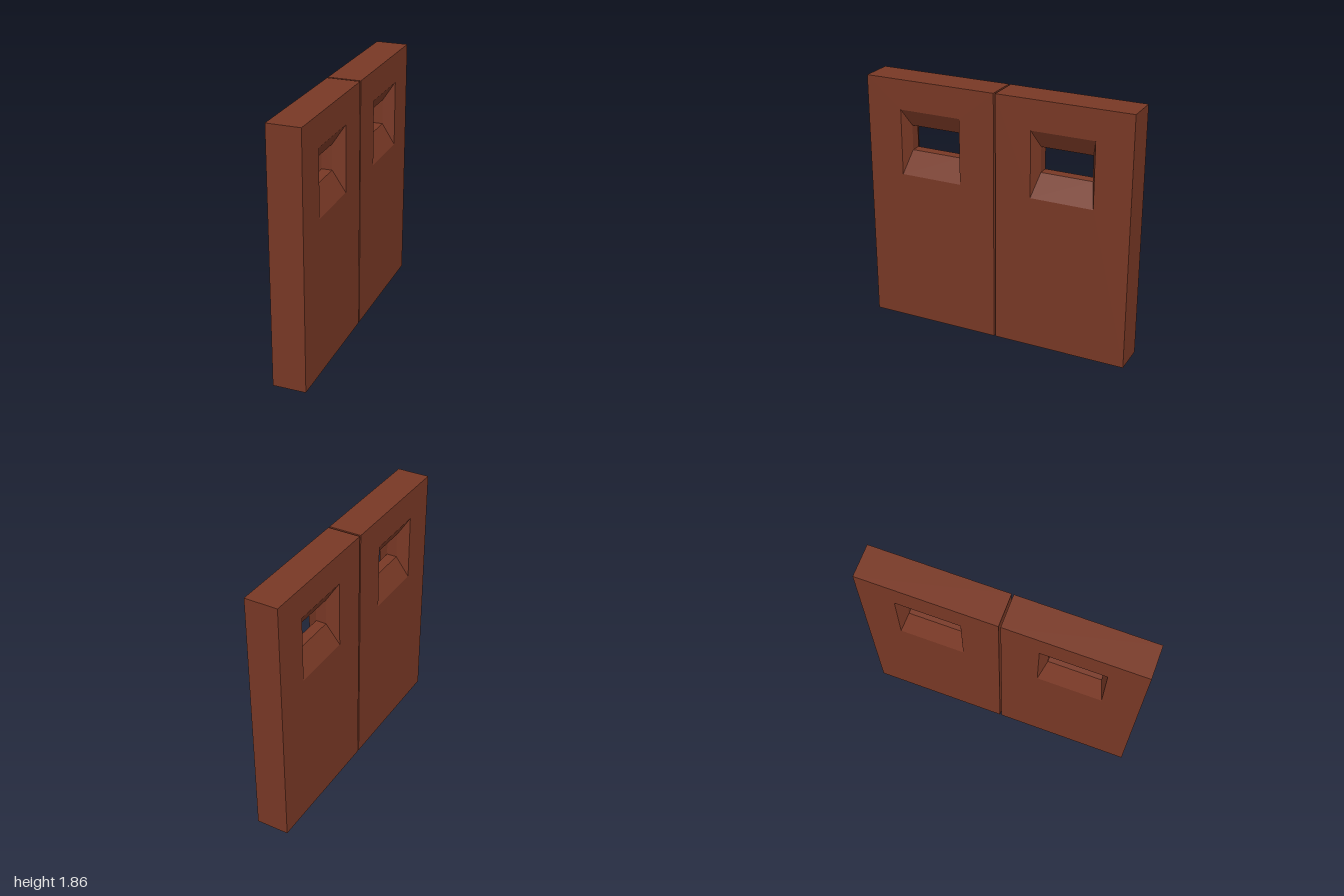
import * as THREE from 'three';

// Rectangular cross-section at depth x: corners run around the rectangle
function ring(x, halfWidth, bottom, top) {
  return [
    [x, bottom, -halfWidth],
    [x, bottom, halfWidth],
    [x, top, halfWidth],
    [x, top, -halfWidth],
  ];
}

// Join a closed sequence of rings with flat quads
function loftClosed(rings) {
  const positions = [];
  rings.forEach((r, i) => {
    const next = rings[(i + 1) % rings.length];
    for (let k = 0; k < 4; k++) {
      const n = (k + 1) % 4;
      positions.push(...r[k], ...r[n], ...next[n], ...r[k], ...next[n], ...next[k]);
    }
  });
  const geometry = new THREE.BufferGeometry();
  geometry.setAttribute('position', new THREE.Float32BufferAttribute(positions, 3));
  geometry.computeVertexNormals();
  return geometry;
}

export function createModel() {
  const group = new THREE.Group();
  group.name = 'wallWithWindows';

  const brown = new THREE.MeshStandardMaterial({ color: 0x783825 });
  brown.name = 'reddish brown';

  const depth = 0.12; // half thickness of the slab
  const neck = 0.038; // half thickness of the straight part of the opening
  const gap = 0.007; // half of the slit between the panels
  const halfWidth = (1 - gap) / 2;

  // Slab outside, then a window that splays out toward both faces
  const panelGeometry = loftClosed([
    ring(depth, halfWidth, 0, 1.86),
    ring(-depth, halfWidth, 0, 1.86),
    ring(-depth, 0.232, 1.153, 1.64),
    ring(-neck, 0.19, 1.32, 1.506),
    ring(neck, 0.19, 1.32, 1.506),
    ring(depth, 0.232, 1.153, 1.64),
  ]);

  // Two equal panels side by side
  for (const side of [1, -1]) {
    const panel = new THREE.Mesh(panelGeometry, brown);
    panel.name = side > 0 ? 'frontPanel' : 'backPanel';
    panel.position.z = side * (gap + halfWidth);
    group.add(panel);
  }
  return group;
}
